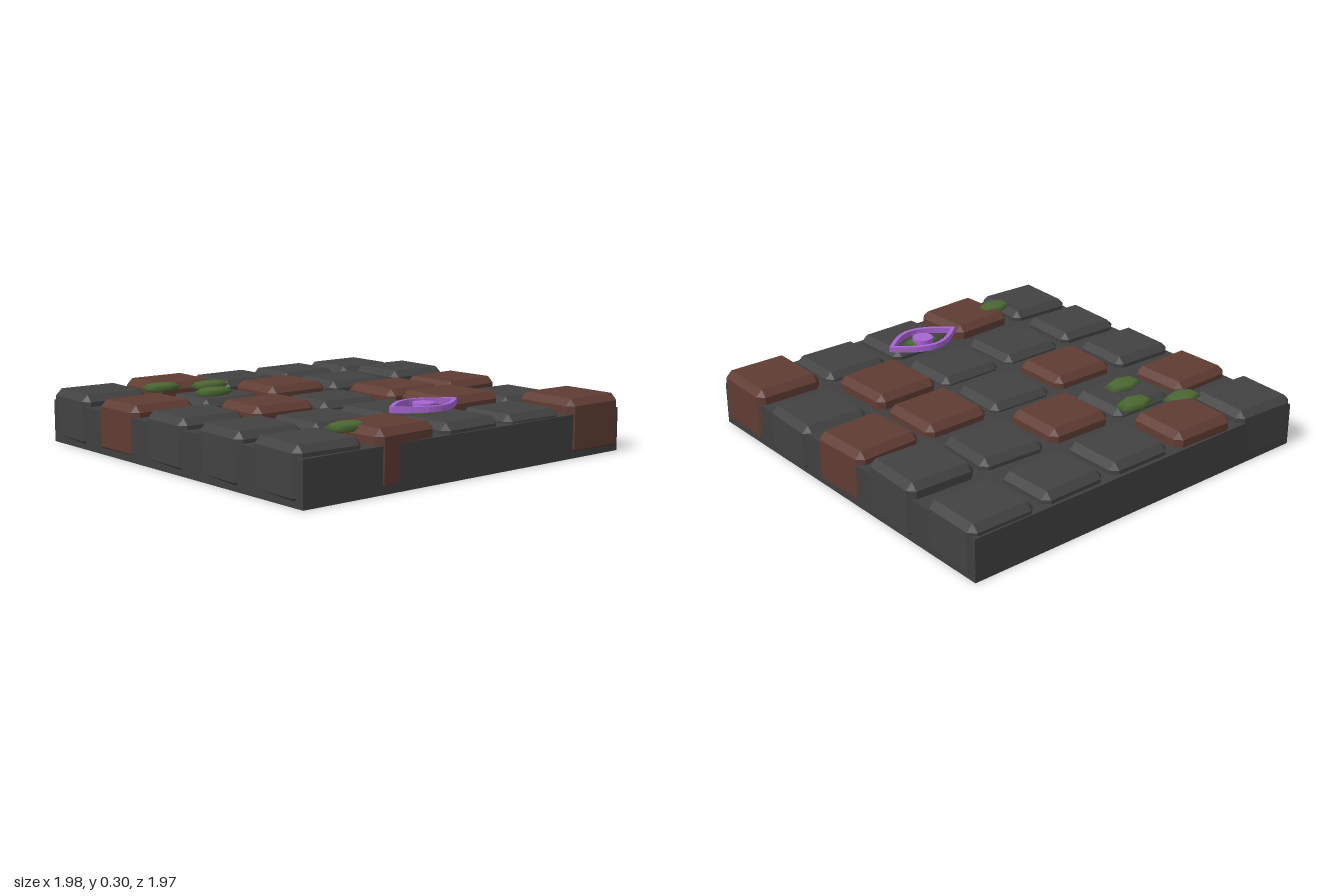
import * as THREE from 'three';
import { ConvexGeometry } from 'three/addons/geometries/ConvexGeometry.js';

const mat = (name, color) => {
  const m = new THREE.MeshStandardMaterial({ color });
  m.name = name;
  return m;
};

// Box with every edge chamfered by b
function chamferedBox(w, h, d, b) {
  const pts = [];
  for (const sx of [-1, 1]) for (const sy of [-1, 1]) for (const sz of [-1, 1]) {
    const x = sx * w / 2, y = sy * h / 2, z = sz * d / 2;
    pts.push(
      new THREE.Vector3(x, y - sy * b, z - sz * b),
      new THREE.Vector3(x - sx * b, y, z - sz * b),
      new THREE.Vector3(x - sx * b, y - sy * b, z));
  }
  return new ConvexGeometry(pts);
}

export function createModel() {
  const model = new THREE.Group();
  model.name = 'stoneFloorTile';
  const mortar = mat('mortar grey', 0x404040);
  const stone = mat('stone grey', 0x424242);
  const brick = mat('brick brown', 0x5f3c33);
  const moss = mat('moss green', 0x4b6732);
  const glow = mat('rune purple', 0xa764d2);

  const add = (parent, name, geometry, material, x, y, z, rot = 0) => {
    const mesh = new THREE.Mesh(geometry, material);
    mesh.name = name;
    mesh.position.set(x, y, z);
    mesh.rotation.y = rot;
    parent.add(mesh);
    return mesh;
  };

  // Mortar slab
  add(model, 'base', new THREE.BoxGeometry(1.95, 0.21, 1.95), mortar, -0.004, 0.105, -0.004);

  // Paving stones, back row first: [turn, top height, depth, z, brick?]
  const rows = [
    [[-0.05, 0.265, 0.33, -0.82], [-0.03, 0.28, 0.315, -0.81, 1], [0, 0.26, 0.32, -0.80],
      [0.01, 0.26, 0.305, -0.81], [-0.01, 0.257, 0.32, -0.81]],
    [[0.02, 0.265, 0.31, -0.41, 1], [0, 0.25, 0.31, -0.41], [-0.02, 0.275, 0.32, -0.41, 1],
      [-0.06, 0.26, 0.325, -0.41], [-0.04, 0.28, 0.34, -0.40]],
    [[-0.04, 0.26, 0.315, -0.01], [-0.02, 0.27, 0.31, 0, 1], [-0.04, 0.25, 0.31, 0],
      [0, 0.27, 0.335, 0.005, 1], [0.04, 0.268, 0.33, -0.002, 1]],
    [[-0.05, 0.26, 0.325, 0.40], [0, 0.25, 0.335, 0.40], [-0.01, 0.25, 0.32, 0.39],
      [0.02, 0.28, 0.35, 0.40, 1], [-0.03, 0.24, 0.335, 0.40]],
    [[-0.05, 0.26, 0.33, 0.79], [0.05, 0.28, 0.325, 0.806, 1], [0.02, 0.257, 0.32, 0.80],
      [-0.02, 0.25, 0.32, 0.80], [-0.02, 0.28, 0.35, 0.805, 1]],
  ];
  const stones = new THREE.Group();
  stones.name = 'pavingStones';
  model.add(stones);
  const bottom = 0.008;
  rows.forEach((row, r) => row.forEach(([turn, top, depth, z, isBrick], c) => {
    const h = top - bottom;
    add(stones, isBrick ? 'brickStone' : 'greyStone', chamferedBox(0.352, h, depth, 0.032),
      isBrick ? brick : stone, (c - 2) * 0.403 - 0.003, bottom + h / 2, z, turn);
  }));

  // Flattened moss clumps
  const clump = new THREE.SphereGeometry(1, 6, 4).rotateY(Math.PI / 6).scale(0.111, 0.025, 0.067);
  for (const [x, y, z, turn] of [
    [-0.55, 0.265, -0.67, -0.06], [-0.33, 0.266, -0.57, 0.02], [-0.435, 0.265, -0.385, 0],
    [-0.58, 0.27, 0.77, 0.03], [-0.01, 0.26, 0.665, 0.02],
  ]) add(model, 'mossClump', clump, moss, x, y, z, turn);

  // Eye-shaped rune: two arcs of short bars around a disc
  const rune = new THREE.Group();
  rune.name = 'eyeRune';
  rune.position.set(-0.003, 0.283, 0.643);
  model.add(rune);
  const n = 12;
  const point = (i, side) => [-0.198 + 0.396 * i / n, side * 0.108 * Math.sin(Math.PI * i / n)];
  for (const side of [-1, 1]) for (let i = 0; i < n; i++) {
    const [x0, z0] = point(i, side), [x1, z1] = point(i + 1, side);
    const length = Math.hypot(x1 - x0, z1 - z0) + 0.006;
    add(rune, 'eyeOutlineBar', new THREE.BoxGeometry(length, 0.028, 0.02), glow,
      (x0 + x1) / 2, 0, (z0 + z1) / 2, -Math.atan2(z1 - z0, x1 - x0));
  }
  add(rune, 'pupil', new THREE.CylinderGeometry(0.053, 0.053, 0.028, 16), glow, 0, 0, 0);

  return model;
}
